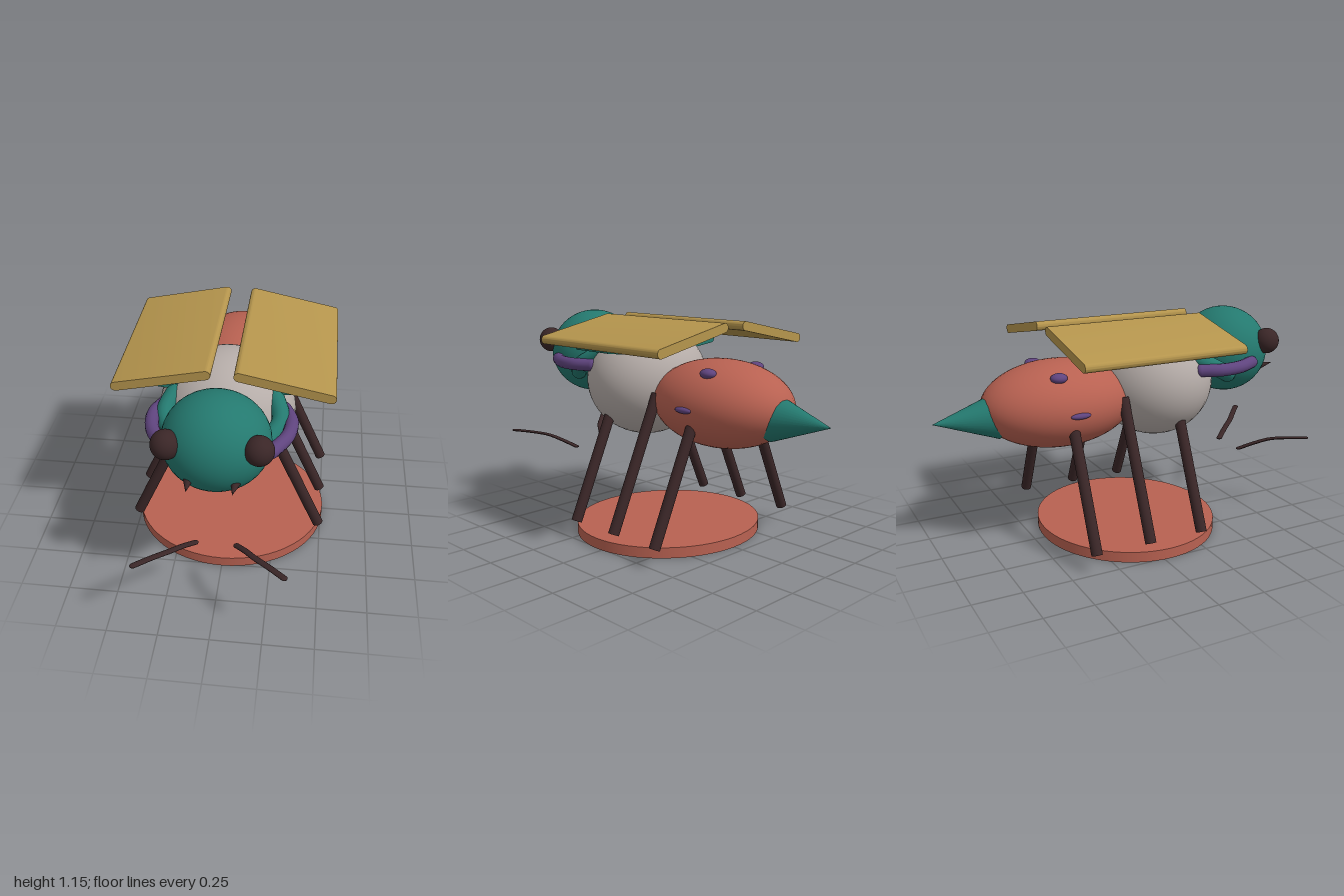
import * as THREE from 'three';
import { mergeGeometries, toCreasedNormals } from 'three/addons/utils/BufferGeometryUtils.js';

const paint = (name, color) => {
  const m = new THREE.MeshStandardMaterial({ color });
  m.name = name;
  return m;
};

export function createModel() {
  const model = new THREE.Group();
  model.name = 'beetle';
  const teal = paint('teal', 0x24796f);
  const clay = paint('clay red', 0xb86151);
  const grey = paint('warm grey', 0xb6ada9);
  const gold = paint('gold', 0xb5954d);
  const dark = paint('dark brown', 0x3a2627);
  const purple = paint('purple', 0x5f447e);

  const add = (name, geometry, material, pos = [0, 0, 0], scale = [1, 1, 1]) => {
    const mesh = new THREE.Mesh(geometry, material);
    mesh.name = name;
    mesh.position.set(...pos);
    mesh.scale.set(...scale);
    model.add(mesh);
    return mesh;
  };
  const ball = (name, material, pos, radii) =>
    add(name, new THREE.SphereGeometry(1, 40, 28), material, pos, radii);

  // Cylinder or cone running between two points
  const rod = (name, material, a, b, rA, rB, sides = 24) => {
    const p = new THREE.Vector3(...a), q = new THREE.Vector3(...b);
    const dir = q.clone().sub(p);
    const mesh = add(name, new THREE.CylinderGeometry(rB, rA, dir.length(), sides), material);
    mesh.position.copy(p).add(q).multiplyScalar(0.5);
    mesh.quaternion.setFromUnitVectors(new THREE.Vector3(0, 1, 0), dir.normalize());
    return mesh;
  };

  // Bent tube with rounded ends; squash flattens it in y
  const bent = (name, material, points, r, squash = 1) => {
    const pts = points.map(([x, y, z]) => new THREE.Vector3(x, y / squash, z));
    const parts = [new THREE.TubeGeometry(new THREE.CatmullRomCurve3(pts), 28, r, 14)];
    for (const p of [pts[0], pts[pts.length - 1]])
      parts.push(new THREE.SphereGeometry(r, 14, 10).translate(p.x, p.y, p.z));
    add(name, mergeGeometries(parts), material, [0, 0, 0], [1, squash, 1]);
  };

  // Flat plate with rounded long edges, extruded along z
  const plate = (name, material, [ax, ay], [bx, by], r, z0, z1) => {
    const t = Math.atan2(by - ay, bx - ax), h = Math.PI / 2;
    const shape = new THREE.Shape();
    shape.absarc(bx, by, r, t - h, t + h, false);
    shape.absarc(ax, ay, r, t + h, t + 3 * h, false);
    const geo = new THREE.ExtrudeGeometry(shape, { depth: z1 - z0, bevelEnabled: false, curveSegments: 10 });
    add(name, toCreasedNormals(geo.translate(0, 0, z0), 0.6), material);
  };

  // Base and body
  add('base', new THREE.CylinderGeometry(1, 1, 0.055, 64), clay, [0, 0.0275, 0.033], [0.51, 1, 0.477]);
  ball('thorax', grey, [0, 0.805, 0.195], [0.337, 0.3, 0.311]);
  ball('head', teal, [0, 0.92, 0.64], [0.25, 0.231, 0.232]);
  ball('abdomen', clay, [0, 0.738, -0.35], [0.28, 0.222, 0.406]);
  rod('tail', teal, [0, 0.708, -0.68], [0, 0.708, -1], 0.114, 0, 32);

  for (const s of [1, -1]) {
    // Face
    ball('eye', dark, [s * 0.203, 0.985, 0.783], [0.067, 0.068, 0.067]);
    rod('mandible', dark, [s * 0.106, 0.82, 0.79], [s * 0.1, 0.831, 0.905], 0.027, 0, 16);
    bent('antenna', dark,
      [[0.1, 0.348, 0.71], [0.15, 0.385, 0.78], [0.2, 0.414, 0.85], [0.27, 0.431, 0.918], [0.34, 0.442, 0.985]]
        .map(([x, y, z]) => [s * x, y, z]), 0.016, 0.4);

    // Neck pieces
    bent('collar', teal,
      [[0.235, 0.955, 0.295], [0.273, 0.89, 0.42], [0.195, 0.826, 0.545]]
        .map(([x, y, z]) => [s * x, y, z]), 0.043);
    bent('neckBand', purple,
      [[0.288, 0.89, 0.32], [0.325, 0.89, 0.42], [0.312, 0.89, 0.54], [0.25, 0.89, 0.658]]
        .map(([x, y, z]) => [s * x, y, z]), 0.033);

    // Wing covers and the small wings beneath
    plate('wingCover', gold, [s * 0.076, 1.121], [s * 0.501, 1.033], 0.023, -0.43, 0.433);
    plate('smallWing', teal, [s * 0.16, 0.972], [s * 0.377, 0.997], 0.018, 0.07, 0.318);

    // Abdomen spots
    ball('upperSpot', purple, [s * 0.178, 0.91, -0.415], [0.037, 0.025, 0.043]);
    ball('sideSpot', purple, [s * 0.275, 0.737, -0.345], [0.02, 0.016, 0.053]);

    // Legs
    for (const z of [0.225, -0.07, -0.365])
      rod('leg', dark, [s * 0.488, 0.096, z], [s * 0.185, 0.77, z], 0.028, 0.028);
  }
  return model;
}
